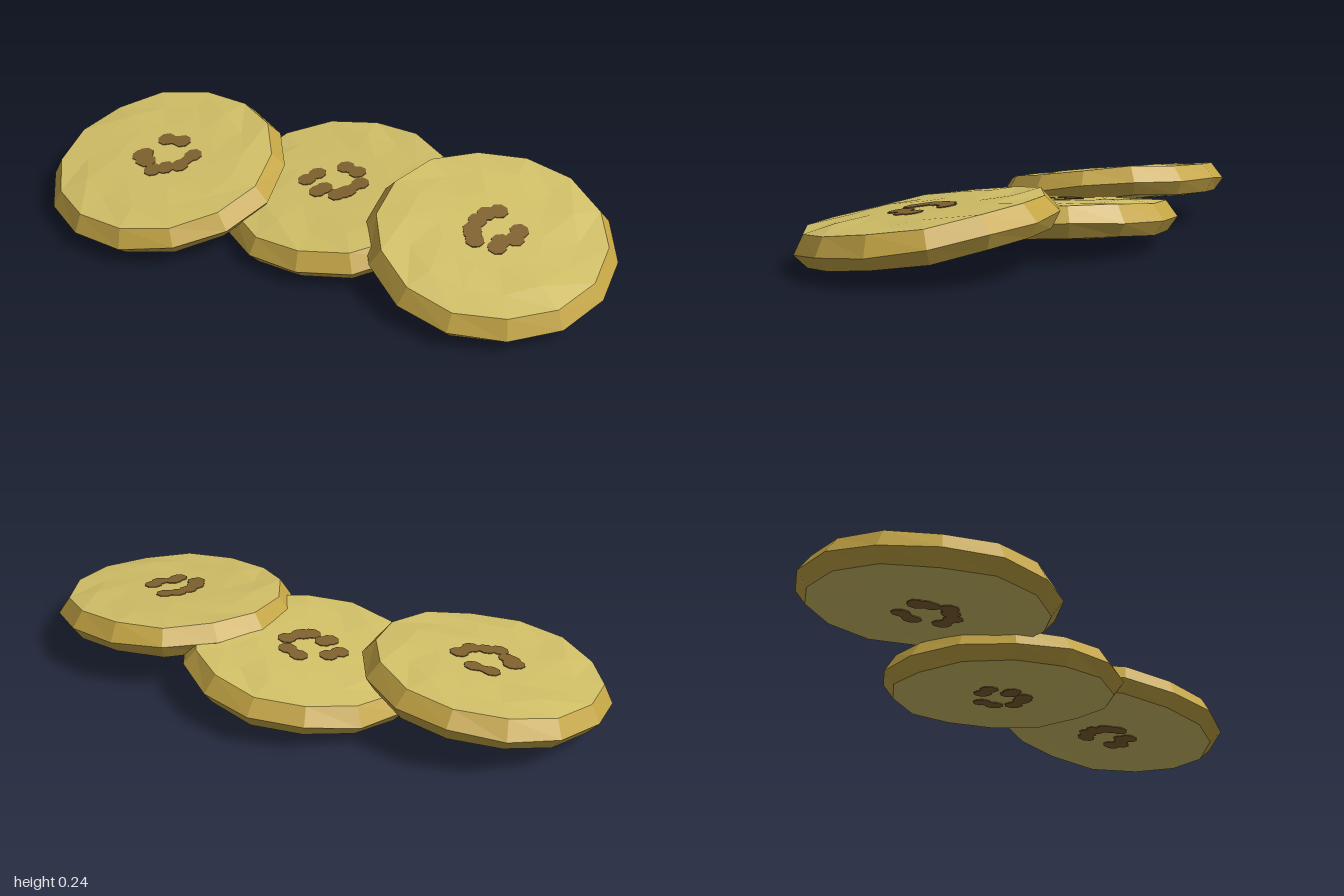
import * as THREE from 'three';

const SIDES = 14;

export function createModel() {
  const flesh = new THREE.MeshStandardMaterial({ color: 0xd2c067, flatShading: true });
  flesh.name = 'paleFlesh';
  const rind = new THREE.MeshStandardMaterial({ color: 0xc4a545, flatShading: true });
  rind.name = 'goldenRim';
  const brown = new THREE.MeshStandardMaterial({ color: 0x80622f, flatShading: true });
  brown.name = 'brownSeed';

  // Revolve a [radius, height] profile, then make it slightly uneven
  function wobblyLathe(profile, phase) {
    const geo = new THREE.LatheGeometry(profile.map(([r, y]) => new THREE.Vector2(r, y)), SIDES);
    const p = geo.attributes.position;
    for (let i = 0; i < p.count; i++) {
      const x = p.getX(i), y = p.getY(i), z = p.getZ(i);
      const r = Math.hypot(x, z);
      if (r < 0.18) continue;
      const a = Math.atan2(x, z);
      const k = 1 + 0.006 * Math.sin(3 * a + phase) + 0.004 * Math.sin(5 * a + 2 * phase);
      const lift = 0.004 * Math.sin(5 * a + r * 30 + phase) + 0.002 * Math.sin(3 * a - phase);
      p.setXYZ(i, x * k, y + lift, z * k);
    }
    geo.computeVertexNormals();
    return geo;
  }

  const profiles = {
    bottomFace: [[0, -0.058], [0.17, -0.058], [0.28, -0.056], [0.382, -0.05]],
    rim: [[0.382, -0.05], [0.417, -0.004], [0.378, 0.053]],
    topFace: [[0.378, 0.053], [0.28, 0.059], [0.17, 0.061], [0, 0.061]],
  };

  // Centre, slope along x and z, turn, and the seeds as pairs of spots [x, z, x, z]
  const slices = [
    { name: 'leftHandSlice', at: [0.583, 0.125, 0.06], slope: [-0.07, -0.14], turn: -0.07, phase: 1,
      seeds: [[0, -0.085, -0.035, -0.06], [-0.055, -0.02, -0.06, 0.025], [0.085, -0.02, 0.08, 0.02],
        [0.035, 0.075, 0.04, 0.045], [-0.04, 0.07, -0.055, 0.04]] },
    { name: 'middleSlice', at: [0.025, 0.092, -0.07], slope: [0.09, -0.06], turn: -0.04, phase: 2.6,
      seeds: [[-0.005, -0.08, 0.045, -0.06], [-0.09, -0.025, -0.115, 0.015], [0.075, 0, 0.045, 0.05],
        [-0.055, 0.07, -0.04, 0.05], [0.015, 0.075, 0.035, 0.06]] },
    { name: 'rightHandSlice', at: [-0.583, 0.128, 0.024], slope: [0.085, -0.13], turn: 0, phase: 4.3,
      seeds: [[-0.03, -0.08, 0.03, -0.08], [-0.075, 0.01, -0.065, 0.04], [0.1, -0.015, 0.075, 0.045],
        [-0.01, 0.085, 0.03, 0.065], [-0.05, 0.045, -0.085, 0.02]] },
  ];

  const spot = new THREE.CylinderGeometry(0.032, 0.032, 0.006, 8);
  const link = new THREE.BoxGeometry(1, 0.006, 0.042);
  const up = new THREE.Vector3(0, 1, 0);
  const model = new THREE.Group();
  model.name = 'fruitSlices';

  for (const s of slices) {
    const slice = new THREE.Group();
    slice.name = s.name;
    slice.position.set(...s.at);
    slice.quaternion.setFromUnitVectors(up, new THREE.Vector3(-s.slope[0], 1, -s.slope[1]).normalize());

    // Rim and the two cut faces
    for (const [part, profile] of Object.entries(profiles)) {
      const mesh = new THREE.Mesh(wobblyLathe(profile, s.phase), part === 'rim' ? rind : flesh);
      mesh.name = part;
      mesh.rotation.y = s.turn;
      slice.add(mesh);
    }

    // Ring of seeds on both cut faces
    for (const [side, y] of [['top', 0.061], ['bottom', -0.058]]) {
      const ring = new THREE.Group();
      ring.name = side + 'Seeds';
      ring.position.y = y;
      for (const [x1, z1, x2, z2] of s.seeds) {
        for (const [x, z] of [[x1, z1], [x2, z2]]) {
          const dot = new THREE.Mesh(spot, brown);
          dot.name = 'seedSpot';
          dot.position.set(x, 0, z);
          ring.add(dot);
        }
        const bar = new THREE.Mesh(link, brown);
        bar.name = 'seedBody';
        bar.position.set((x1 + x2) / 2, 0, (z1 + z2) / 2);
        bar.scale.x = Math.hypot(x2 - x1, z2 - z1);
        bar.rotation.y = -Math.atan2(z2 - z1, x2 - x1);
        ring.add(bar);
      }
      slice.add(ring);
    }
    model.add(slice);
  }
  return model;
}
